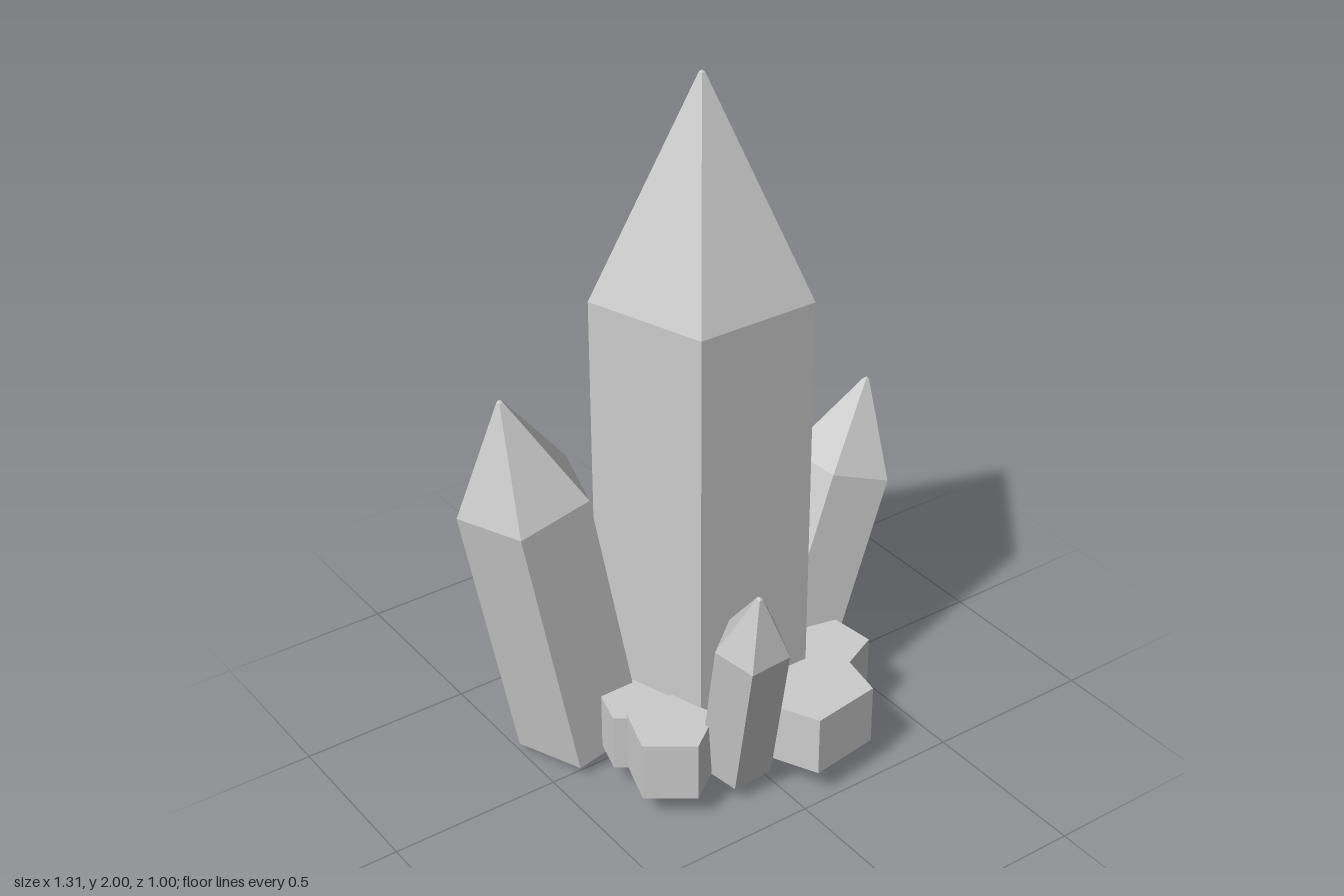
import * as THREE from 'three';

const UP = new THREE.Vector3(0, 1, 0);

// Five-sided solid from a [radius, height] profile; corner is the angle from +x towards +z of one edge
function fiveSided(name, profile, corner, material) {
  const points = profile.map(([r, y]) => new THREE.Vector2(r, y));
  const start = THREE.MathUtils.degToRad(90 - corner);
  const mesh = new THREE.Mesh(new THREE.LatheGeometry(points, 5, start), material);
  mesh.name = name;
  return mesh;
}

// Pointed crystal: origin at the shoulder, shaft running down and point running up along the axis
function crystal({ name, shoulder, axis, radius, shaft, point, corner }, material) {
  const tip = 0.009;
  const mesh = fiveSided(name, [
    [0, -shaft], [radius, -shaft], [radius, 0], [tip, point - 0.006], [0, point],
  ], corner, material);
  mesh.position.set(...shoulder);
  mesh.quaternion.setFromUnitVectors(UP, new THREE.Vector3(...axis).normalize());
  return mesh;
}

export function createModel() {
  const group = new THREE.Group();
  group.name = 'crystalCluster';
  const stone = new THREE.MeshStandardMaterial({ color: 0xcccccc, flatShading: true });
  stone.name = 'paleGreyStone';

  // Tall centre crystal and three leaning ones
  const crystals = [
    { name: 'mainCrystal', shoulder: [0.018, 1.4, -0.012], axis: [0, 1, 0], radius: 0.308, shaft: 1.33, point: 0.6, corner: -90 },
    { name: 'rightCrystal', shoulder: [-0.48, 0.875, -0.126], axis: [-0.19, 0.98, 0], radius: 0.187, shaft: 0.835, point: 0.32, corner: -163 },
    { name: 'leftCrystal', shoulder: [0.51, 0.69, -0.012], axis: [0.325, 0.945, 0], radius: 0.153, shaft: 0.675, point: 0.26, corner: -5 },
    { name: 'frontCrystal', shoulder: [-0.123, 0.555, 0.413], axis: [-0.075, 0.96, 0.245], radius: 0.104, shaft: 0.49, point: 0.193, corner: -90 },
  ];
  for (const c of crystals) group.add(crystal(c, stone));

  // Ring of low stones around the foot: x, z, radius, bottom, top, corner angle
  const stones = [
    [-0.167, -0.28, 0.192, 0.085, 0.28, -79],
    [0.12, -0.343, 0.158, 0.072, 0.245, -95],
    [0.294, -0.227, 0.13, 0.09, 0.262, -42],
    [0.288, 0.185, 0.145, 0.09, 0.255, 29],
    [0.14, 0.326, 0.18, 0.09, 0.27, 46],
    [-0.268, 0.242, 0.128, 0.08, 0.258, 90],
    [-0.25, 0.08, 0.138, 0.08, 0.25, 160],
  ];
  stones.forEach(([x, z, r, bottom, top, corner], i) => {
    const mesh = fiveSided(`baseStone${i + 1}`, [[0, bottom], [r, bottom], [r, top], [0, top]], corner, stone);
    mesh.position.set(x, 0, z);
    group.add(mesh);
  });

  return group;
}
